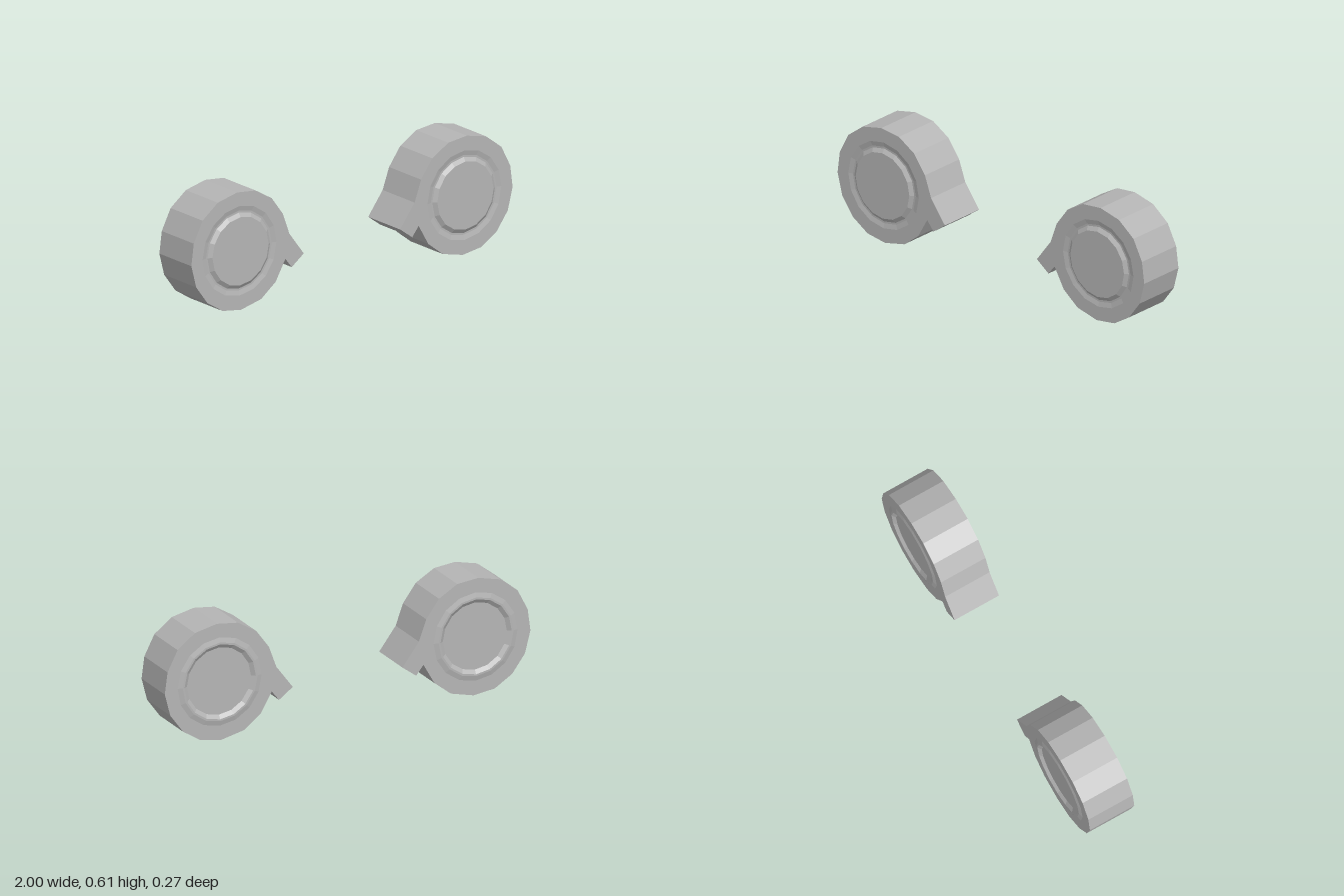
import * as THREE from 'three';

const DEPTH = 0.252, SIDES = 16, RIM = 0.23, CENTRE = [0.7, 0.305];

// Housing outline of the unit on the +x side, ending in the outlet spout
const OUTLINE = [
  [0.69, 0], [0.565, 0.03], [0.475, 0.1], [0.415, 0.205], [0.375, 0.155], [0.3, 0.21],
  [0.39, 0.33], [0.43, 0.44], [0.5, 0.535], [0.6, 0.595], [0.715, 0.608], [0.835, 0.58],
  [0.93, 0.507], [0.985, 0.4], [1, 0.287], [0.97, 0.172], [0.9, 0.077], [0.805, 0.017],
];

// Radius and depth of each ring, back to front so that faces point outwards
const FRONT_CAP = [[RIM, 0.126], [0.205, 0.12], [0.195, 0.12], [0.175, 0.134], [0, 0.134]];
const BACK_CAP = [[0, -0.118], [0.175, -0.118], [0.195, -0.132], [0.205, -0.132], [RIM, -0.126]];

const vectors = (points) => points.map(([x, y]) => new THREE.Vector2(x, y));

function flatMesh(geometry, material, name) {
  const flat = geometry.index ? geometry.toNonIndexed() : geometry;
  flat.computeVertexNormals();
  const mesh = new THREE.Mesh(flat, material);
  mesh.name = name;
  return mesh;
}

function makeUnit(side, material) {
  const unit = new THREE.Group();
  unit.name = side > 0 ? 'leftBlower' : 'rightBlower';
  const cx = side * CENTRE[0], cy = CENTRE[1];

  // Scroll housing, open where the round caps sit
  const shape = new THREE.Shape(vectors(OUTLINE.map(([x, y]) => [side * x, y])));
  const rim = [];
  for (let i = 0; i < SIDES; i++) {
    const a = (i / SIDES) * Math.PI * 2;
    rim.push([cx + RIM * Math.sin(a), cy - RIM * Math.cos(a)]);
  }
  shape.holes.push(new THREE.Path(vectors(rim)));
  const housing = new THREE.ExtrudeGeometry(shape, { depth: DEPTH, bevelEnabled: false });
  housing.translate(0, 0, -DEPTH / 2);
  unit.add(flatMesh(housing, material, 'housing'));

  // Grooved front cap and raised-rim back cap
  for (const [name, profile] of [['frontCap', FRONT_CAP], ['backCap', BACK_CAP]]) {
    const cap = new THREE.LatheGeometry(vectors(profile), SIDES);
    cap.rotateX(Math.PI / 2);
    cap.translate(cx, cy, 0);
    unit.add(flatMesh(cap, material, name));
  }
  return unit;
}

export function createModel() {
  const model = new THREE.Group();
  model.name = 'blowerPair';
  const grey = new THREE.MeshStandardMaterial({ color: 0xb4b4b4 });
  grey.name = 'grey';
  for (const side of [-1, 1]) model.add(makeUnit(side, grey));
  return model;
}
